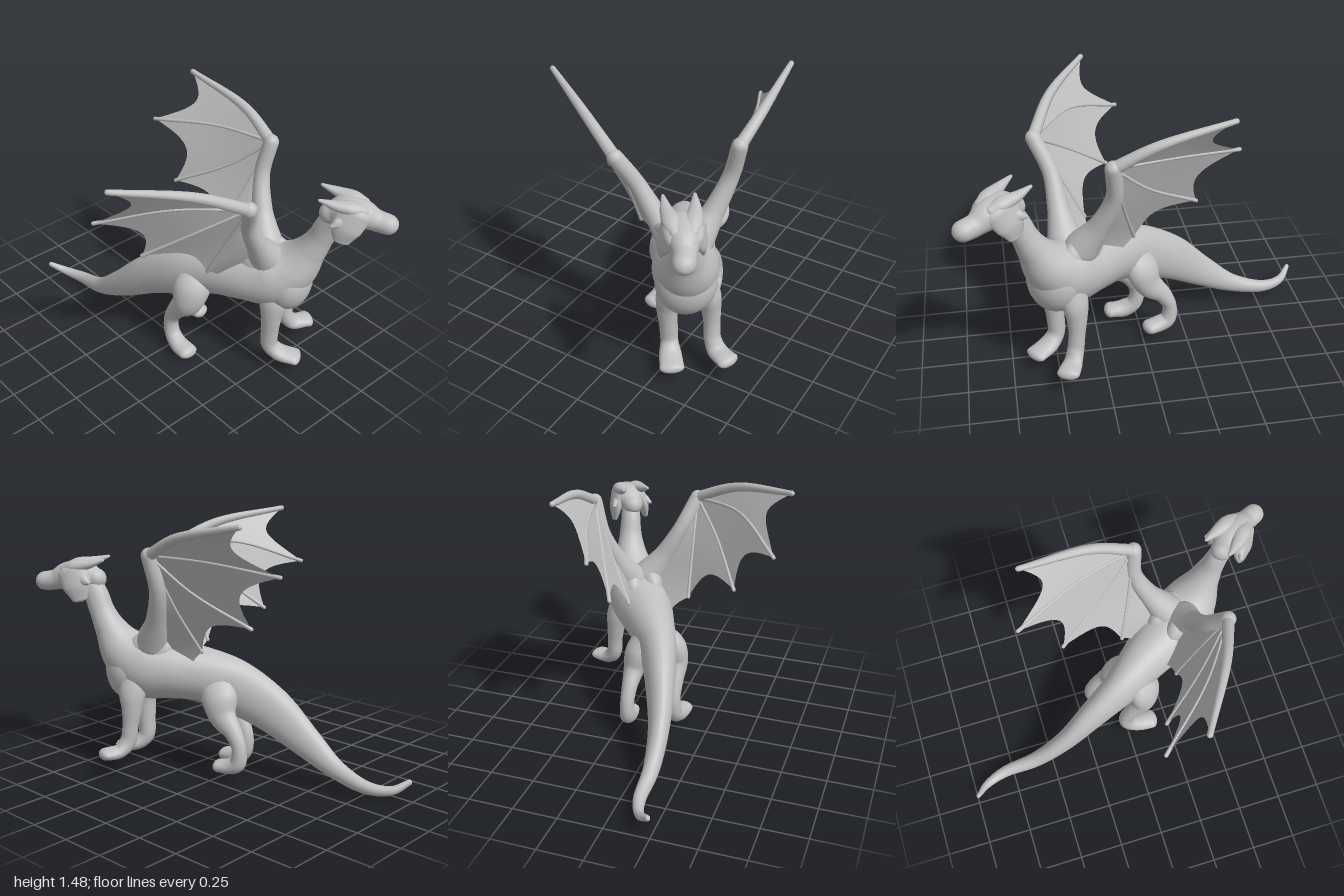
import * as THREE from 'three';

const SIDE = new THREE.Vector3(0.58, 0, 0.81); // the creature's own left, it faces diagonally
const skin = new THREE.MeshStandardMaterial({ color: 0xc0c0c0, side: THREE.DoubleSide });
skin.name = 'grey skin';

function gridMesh(name, rows, closed) {
  const n = rows[0].length, pos = [], idx = [];
  rows.forEach(r => r.forEach(p => pos.push(p.x, p.y, p.z)));
  for (let i = 0; i < rows.length - 1; i++) {
    for (let j = 0; j < (closed ? n : n - 1); j++) {
      const k = (j + 1) % n, a = i * n + j, b = a + n, c = i * n + k, d = c + n;
      idx.push(a, b, c, c, b, d);
    }
  }
  const g = new THREE.BufferGeometry();
  g.setAttribute('position', new THREE.Float32BufferAttribute(pos, 3));
  g.setIndex(idx);
  g.computeVertexNormals();
  const m = new THREE.Mesh(g, skin);
  m.name = name;
  return m;
}

// Smooth body through sections [x, y, z, half width, half height], with rounded ends
function loft(name, sections, steps = 8, sides = 20) {
  const path = new THREE.CatmullRomCurve3(sections.map(s => new THREE.Vector3(s[0], s[1], s[2])));
  const size = new THREE.CatmullRomCurve3(sections.map(s => new THREE.Vector3(s[3], s[4] ?? s[3], 0)));
  const total = (sections.length - 1) * steps, rows = [];
  const ring = (u, end, angle) => {
    const t = path.getTangent(u), r = size.getPoint(u);
    const side = SIDE.clone().addScaledVector(t, -SIDE.dot(t)).normalize();
    const up = side.clone().cross(t);
    const c = path.getPoint(u).addScaledVector(t, end * Math.sin(angle) * Math.min(r.x, r.y));
    const k = Math.cos(angle), row = [];
    for (let j = 0; j < sides; j++) {
      const a = j / sides * Math.PI * 2;
      row.push(c.clone().addScaledVector(side, Math.cos(a) * r.x * k).addScaledVector(up, Math.sin(a) * r.y * k));
    }
    rows.push(row);
  };
  for (let k = 5; k > 0; k--) ring(0, -1, k / 5 * 1.56);
  for (let i = 0; i <= total; i++) ring(i / total, 0, 0);
  for (let k = 1; k <= 5; k++) ring(1, 1, k / 5 * 1.56);
  return gridMesh(name, rows, true);
}

function ball(name, x, y, z, sx, sy, sz) {
  const m = new THREE.Mesh(new THREE.SphereGeometry(1, 28, 20), skin);
  m.position.set(x, y, z);
  m.scale.set(sx, sy, sz);
  m.rotation.y = 0.62;
  m.name = name;
  return m;
}

// Wing: arm, four fingers from the wrist, scalloped membrane between neighbours
function wing(name, wrist, fingers, arm, bodyEnd) {
  const g = new THREE.Group();
  g.name = name;
  g.add(loft(name + 'Arm', [...arm, [...wrist, 0.042]]));
  const lines = fingers.map(([mid, tip]) => [wrist, mid, tip]);
  fingers.forEach(([mid, tip], i) => {
    const r = i === 0 ? 0.034 : 0.01;
    g.add(loft(name + 'Finger', [[...wrist, r], [...mid, r * 0.8], [...tip, i === 0 ? 0.015 : 0.011]], 10, 10));
  });
  lines.push([wrist, arm[2].slice(0, 3), arm[1].slice(0, 3), arm[0].slice(0, 3), bodyEnd]);
  const curves = lines.map(l => new THREE.CatmullRomCurve3(l.map(p => new THREE.Vector3(...p))));
  for (let f = 0; f < curves.length - 1; f++) {
    const rows = [], scallop = f < fingers.length - 1 ? 0.72 : 0.1;
    for (let i = 0; i <= 16; i++) {
      const row = [];
      for (let j = 0; j <= 12; j++) {
        const t = j / 12, s = i / 16 * (1 - scallop * t * (1 - t));
        row.push(curves[f].getPoint(s).lerp(curves[f + 1].getPoint(s), t));
      }
      rows.push(row);
    }
    g.add(gridMesh(name + 'Membrane', rows, false));
  }
  return g;
}

export function createModel() {
  const model = new THREE.Group();
  model.name = 'dragon';

  // Tail, trunk and neck in one sweep
  model.add(loft('body', [
    [-0.985, 0.115, 0.235, 0.013, 0.016], [-0.92, 0.07, 0.17, 0.024, 0.025],
    [-0.8, 0.065, 0.125, 0.034, 0.035], [-0.6, 0.115, 0.12, 0.045, 0.053],
    [-0.4, 0.24, 0.095, 0.058, 0.09], [-0.2, 0.395, 0.035, 0.08, 0.13],
    [0, 0.505, -0.045, 0.105, 0.155], [0.15, 0.565, -0.135, 0.135, 0.155],
    [0.3, 0.59, -0.23, 0.165, 0.168], [0.43, 0.61, -0.315, 0.175, 0.188],
    [0.53, 0.69, -0.38, 0.148, 0.142], [0.6, 0.81, -0.42, 0.092, 0.088],
    [0.645, 0.91, -0.44, 0.067, 0.07], [0.68, 1.0, -0.45, 0.058, 0.068],
    [0.72, 1.07, -0.462, 0.055, 0.062],
  ], 8, 32));
  model.add(ball('chest', 0.5, 0.585, -0.36, 0.143, 0.18, 0.163));
  model.add(ball('leftShoulder', 0.42, 0.7, -0.24, 0.14, 0.12, 0.075));
  model.add(ball('rightShoulder', 0.35, 0.7, -0.34, 0.14, 0.12, 0.075));

  // Head with cheek frills and horns
  const head = new THREE.Group();
  head.name = 'head';
  head.add(loft('skull', [
    [0.69, 1.085, -0.44, 0.06, 0.06], [0.75, 1.11, -0.485, 0.096, 0.08],
    [0.82, 1.1, -0.535, 0.082, 0.076], [0.88, 1.075, -0.575, 0.058, 0.057],
    [0.936, 1.066, -0.604, 0.056, 0.053],
  ]));
  for (const s of [1, -1]) {
    // place a point by distance along the head, height and distance to the side
    const at = (along, y, out, w, h) =>
      [0.76 + 0.8 * along + 0.6 * s * out, y, -0.49 - 0.6 * along + 0.8 * s * out, w, h];
    head.add(loft('cheekFrill', [
      at(0.03, 1.13, 0.05, 0.05, 0.095), at(0.0, 1.05, 0.085, 0.035, 0.08), at(-0.015, 0.985, 0.098, 0.016, 0.045)]));
    head.add(loft('cheekSpike', [
      at(0, 1.1, 0.06, 0.04, 0.045), at(-0.05, 1.085, 0.1, 0.022, 0.028), at(-0.07, 1.08, 0.115, 0.01)]));
    head.add(loft('horn', [
      at(0.08, 1.145, 0.04, 0.03, 0.026), at(0.02, 1.16, 0.05, 0.046, 0.036),
      at(-0.06, 1.175, 0.066, 0.032, 0.026), at(-0.145, 1.2, 0.075, 0.009)]));
  }
  model.add(head);

  // Legs, each running from the hip or shoulder to the toes
  model.add(loft('leftFrontLeg', [
    [0.49, 0.6, -0.29, 0.06, 0.08], [0.505, 0.48, -0.262, 0.068, 0.08], [0.507, 0.38, -0.25, 0.058, 0.06],
    [0.5, 0.26, -0.252, 0.05], [0.502, 0.16, -0.258, 0.048], [0.545, 0.11, -0.29, 0.06, 0.042],
    [0.625, 0.09, -0.35, 0.066, 0.029]]));
  model.add(loft('rightFrontLeg', [
    [0.42, 0.58, -0.42, 0.06, 0.08], [0.405, 0.47, -0.445, 0.062, 0.075], [0.4, 0.38, -0.455, 0.053, 0.057],
    [0.405, 0.28, -0.465, 0.045], [0.415, 0.2, -0.475, 0.046], [0.435, 0.145, -0.515, 0.054, 0.04],
    [0.47, 0.137, -0.6, 0.062, 0.032]]));
  model.add(loft('leftRearLeg', [
    [0.11, 0.56, -0.04, 0.05, 0.09], [0.12, 0.47, 0.005, 0.075, 0.105], [0.11, 0.38, 0.03, 0.068, 0.088],
    [0.04, 0.285, 0.045, 0.048, 0.055], [-0.005, 0.19, 0.05, 0.041, 0.043], [0.01, 0.095, 0.052, 0.046],
    [0.07, 0.052, 0.058, 0.055, 0.048], [0.155, 0.045, 0.06, 0.06, 0.036]]));
  model.add(loft('rightRearLeg', [
    [0.03, 0.55, -0.13, 0.05, 0.09], [0.0, 0.46, -0.165, 0.07, 0.1], [-0.035, 0.37, -0.177, 0.06, 0.078],
    [-0.115, 0.29, -0.178, 0.044, 0.05], [-0.155, 0.21, -0.178, 0.04], [-0.145, 0.12, -0.18, 0.046],
    [-0.09, 0.095, -0.19, 0.052, 0.042], [-0.035, 0.09, -0.205, 0.055, 0.035]]));

  // Wings
  model.add(wing('leftWing', [0.552, 1.23, 0.015], [
    [[0.44, 1.355, 0.27], [0.225, 1.43, 0.625]],
    [[0.33, 1.25, 0.32], [0.035, 1.135, 0.585]],
    [[0.36, 1.07, 0.19], [0.125, 0.875, 0.355]],
    [[0.42, 0.98, 0.03], [0.29, 0.71, 0.045]],
  ], [[0.43, 0.75, -0.25, 0.095], [0.45, 0.89, -0.155, 0.058], [0.475, 1.06, -0.06, 0.044]], [0.24, 0.58, -0.07]));
  model.add(wing('rightWing', [0.2, 1.27, -0.485], [
    [[-0.02, 1.38, -0.5], [-0.41, 1.465, -0.46]],
    [[-0.13, 1.26, -0.4], [-0.495, 1.205, -0.25]],
    [[0.0, 1.08, -0.37], [-0.28, 0.905, -0.22]],
    [[0.13, 0.97, -0.36], [0.06, 0.73, -0.24]],
  ], [[0.35, 0.75, -0.335, 0.095], [0.26, 0.9, -0.385, 0.058], [0.19, 1.09, -0.44, 0.044]], [0.14, 0.59, -0.24]));

  return model;
}
